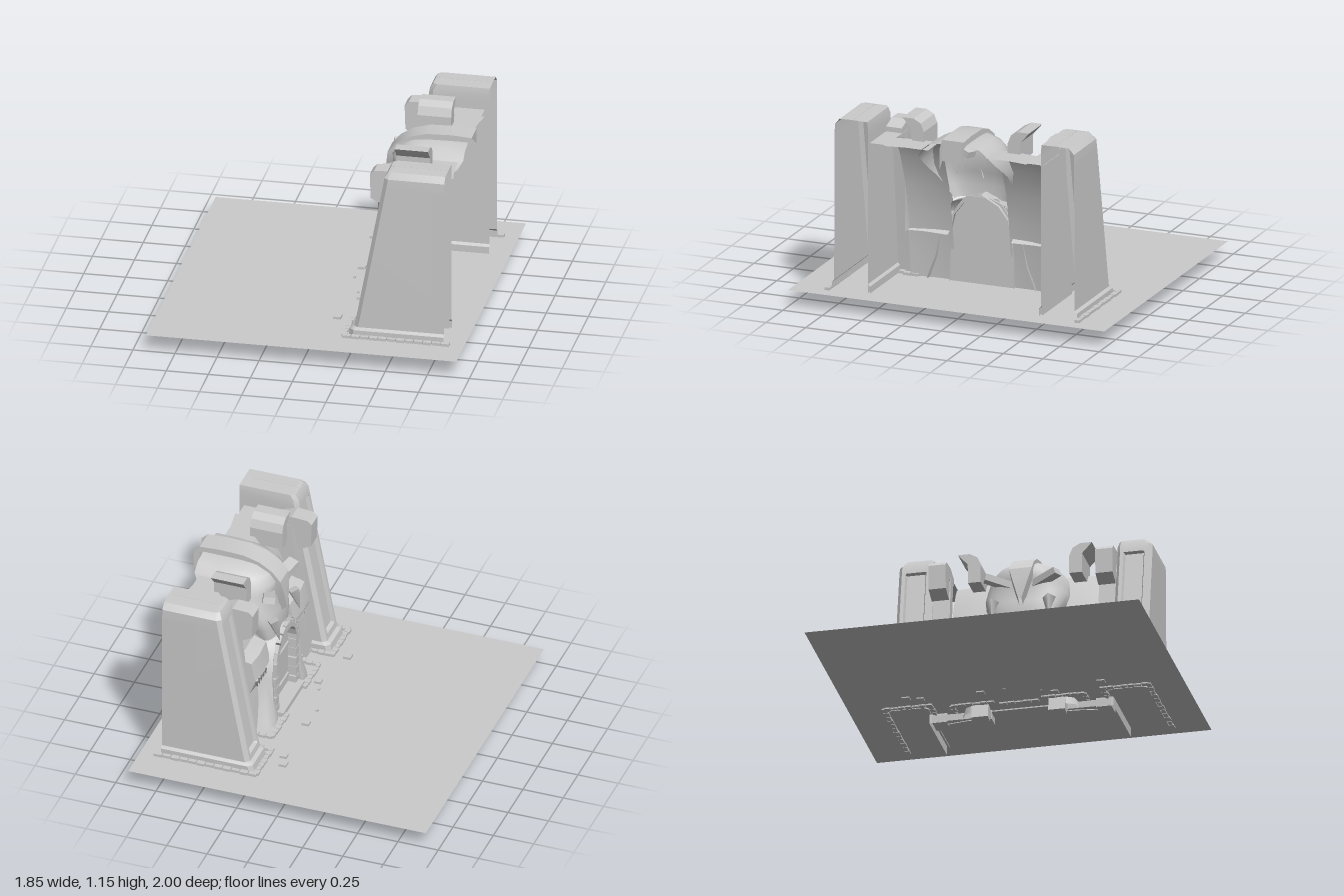
import * as THREE from 'three';
import { toCreasedNormals } from 'three/addons/utils/BufferGeometryUtils.js';

const mat = new THREE.MeshStandardMaterial({ color: 0xcccccc, side: THREE.DoubleSide });

function add(group, name, geo, x = 0, y = 0, z = 0) {
  const m = new THREE.Mesh(geo, mat);
  m.name = name;
  m.position.set(x, y, z);
  group.add(m);
  return m;
}
const box = (g, name, x, y, z, w, h, d) => add(g, name, new THREE.BoxGeometry(w, h, d), x, y, z);

// Open sheet through rows of [x, y, z] points
function loft(rows, crease = 0.5) {
  const n = rows[0].length, index = [];
  for (let r = 0; r < rows.length - 1; r++)
    for (let i = 0; i < n - 1; i++) {
      const a = r * n + i, b = a + 1, c = a + n, d = c + 1;
      index.push(a, c, b, b, c, d);
    }
  const geo = new THREE.BufferGeometry();
  geo.setAttribute('position', new THREE.Float32BufferAttribute(rows.flat(2), 3));
  geo.setIndex(index);
  return toCreasedNormals(geo, crease);
}

// Outline in (z, y) extruded along x from x0 to x1
function slabX(points, x0, x1) {
  const shape = new THREE.Shape(points.map(([z, y]) => new THREE.Vector2(-z, y)));
  const geo = new THREE.ExtrudeGeometry(shape, { depth: x1 - x0, bevelEnabled: false });
  return geo.rotateY(Math.PI / 2).translate(x0, 0, 0);
}
// Outline in (x, y) extruded along z from z0 to z1
function slabZ(points, z0, z1) {
  const shape = new THREE.Shape(points.map(([x, y]) => new THREE.Vector2(x, y)));
  const lo = Math.min(z0, z1);
  return new THREE.ExtrudeGeometry(shape, { depth: Math.abs(z1 - z0), bevelEnabled: false }).translate(0, 0, lo);
}

// Leaning tower, open at the back, with a sunken front panel
function tower(g, s) {
  const levels = [ // y, front x, inner z, outer z, panel depth
    [0.1, 0.23, 0.535, 0.775, 0], [0.15, 0.24, 0.535, 0.775, 0], [0.165, 0.262, 0.547, 0.76, 0],
    [0.2, 0.27, 0.547, 0.76, 0], [0.21, 0.272, 0.547, 0.76, 0.02],
    [1.06, 0.43, 0.547, 0.757, 0.02], [1.07, 0.432, 0.547, 0.757, 0],
    [1.12, 0.44, 0.547, 0.755, 0], [1.155, 0.46, 0.552, 0.725, 0], [1.157, 0.47, 0.64, 0.641, 0]];
  const rows = levels.map(([y, f, zi, zo, p]) => {
    const w = zo - zi, at = (x, t) => [x, y, s * (zi + w * t)];
    return [at(0.8, 0), at(f + 0.025, 0), at(f, 0.1), at(f, 0.2), at(f + p, 0.24),
      at(f + p, 0.76), at(f, 0.8), at(f, 0.9), at(f + 0.025, 1), at(0.8, 1)];
  });
  add(g, 'tower', loft(rows));
}

// Row of paving stones from (x0, z0) to (x1, z1)
function stones(g, x0, z0, x1, z1, n) {
  for (let i = 0; i < n; i++) {
    const t = (i + 0.5) / n, len = Math.hypot(x1 - x0, z1 - z0) / n * 0.9;
    const alongX = Math.abs(x1 - x0) > Math.abs(z1 - z0), w = 0.028 + 0.006 * Math.sin(i * 2.3);
    box(g, 'borderStone', x0 + (x1 - x0) * t, 0.112, z0 + (z1 - z0) * t,
      alongX ? len : w, 0.025, alongX ? w : len);
  }
}

// Everything that is mirrored about z = 0
function sideParts(s) {
  const g = new THREE.Group();
  g.name = s > 0 ? 'leftHalf' : 'rightHalf';
  tower(g, s);

  stones(g, 0.2, s * 0.79, 0.84, s * 0.79, 12);
  stones(g, 0.21, s * 0.5, 0.21, s * 0.79, 7);
  stones(g, 0.22, s * 0.515, 0.38, s * 0.515, 4);
  stones(g, 0.38, s * 0.4, 0.38, s * 0.5, 2);
  stones(g, 0.25, s * 0.395, 0.37, s * 0.395, 3);
  stones(g, 0.25, s * 0.14, 0.25, s * 0.4, 6);

  // Narrow pillar between tower and wall, with an overhanging cap
  const pillar = [[0.34, 0.05], [0.37, 0.4], [0.42, 0.84], [0.44, 1.02], [0.77, 1.02]];
  add(g, 'pillar', loft(pillar.map(([x, y]) => [[0.79, y, s * 0.55], [x, y, s * 0.55],
    [x, y, s * 0.445], [x + 0.06, y, s * 0.445]])));
  add(g, 'pillarCap', slabZ([[0.32, 0.9], [0.315, 1.05], [0.34, 1.075], [0.44, 1.08], [0.53, 1.05],
    [0.53, 1.0], [0.42, 1.0], [0.4, 0.86]], s * 0.447, s * 0.55));

  // Curved wall flanking the head
  const wall = [[0.36, 0.05], [0.38, 0.3], [0.41, 0.5], [0.45, 0.7], [0.52, 0.88], [0.57, 0.98], [0.6, 1.02], [0.77, 1.02]];
  add(g, 'wall', loft(wall.map(([x, y]) => [[x + 0.02, y, s * 0.45], [x, y, s * 0.32], [x, y, s * 0.18]])));

  // Jutting shoulder and the row of teeth beneath it
  const shoulder = [[0.43, 0.4], [0.37, 0.43], [0.335, 0.52], [0.36, 0.64], [0.44, 0.67]];
  add(g, 'shoulder', loft(shoulder.map(([x, y]) => [[0.46, y, s * 0.455], [x, y, s * 0.45],
    [x - 0.01, y, s * 0.34], [x, y, s * 0.2]])));
  for (let i = 0; i < 5; i++) {
    const t = add(g, 'tooth', new THREE.ConeGeometry(0.018, 0.08, 4), 0.34, 0.485, s * (0.27 + i * 0.036));
    t.rotation.x = Math.PI + s * 0.4;
  }

  // Horn curling outward
  add(g, 'horn', slabX([[0.4, 1.155], [0.33, 1.155], [0.285, 1.13], [0.265, 1.08], [0.265, 0.97],
    [0.34, 0.97], [0.342, 1.09], [0.37, 1.12]].map(([z, y]) => [s * z, y]), 0.43, 0.63));

  // Eye ridge and cheek fang
  const brow = box(g, 'brow', 0.365, 0.92, s * 0.14, 0.07, 0.04, 0.17);
  brow.rotation.set(-s * 0.3, -s * 0.35, 0);
  const fang = add(g, 'fang', new THREE.ConeGeometry(0.04, 0.14, 4), 0.305, 0.71, s * 0.17);
  fang.rotation.z = Math.PI - 0.3;

  // Flaring root beside the doorway, ending in a foot
  const rows = [[0.06, 0.36, 0.2, 0.27], [0.15, 0.33, 0.2, 0.28], [0.25, 0.29, 0.2, 0.3],
    [0.4, 0.26, 0.195, 0.31], [0.52, 0.24, 0.17, 0.315], [0.6, 0.18, 0.11, 0.32], [0.66, 0.01, 0, 0.32]];
  add(g, 'doorRoot', loft(rows.map(([y, zo, zi, x]) => [[0.4, y, s * zo], [x + 0.03, y, s * (zo * 0.85 + zi * 0.15)],
    [x, y, s * (zo + zi) / 2], [x + 0.01, y, s * zi], [0.4, y, s * zi]]), 1));
  const foot = box(g, 'foot', 0.29, 0.055, s * 0.23, 0.06, 0.085, 0.1);
  foot.rotation.z = -0.2;
  box(g, 'footing', 0.4, 0.075, s * 0.36, 0.12, 0.04, 0.35);
  return g;
}

function head() {
  const g = new THREE.Group();
  g.name = 'helmetedHead';
  // Rounded horseshoe sections: y, front x, back x, half width
  const levels = [[0.62, 0.33, 0.4, 0.17], [0.7, 0.325, 0.44, 0.2], [0.78, 0.335, 0.5, 0.235], [0.86, 0.36, 0.6, 0.255],
    [0.93, 0.35, 0.7, 0.25], [0.98, 0.345, 0.77, 0.24], [1.03, 0.38, 0.8, 0.21], [1.07, 0.45, 0.8, 0.16], [1.095, 0.53, 0.8, 0.01]];
  add(g, 'skull', loft(levels.map(([y, f, b, w]) => {
    const row = [];
    for (let i = 0; i <= 16; i++) {
      const a = Math.PI * (i / 16 - 0.5), c = Math.cos(a), q = Math.sin(a);
      row.push([b - (b - f) * Math.pow(Math.abs(c), 0.6), y, w * Math.sign(q) * Math.pow(Math.abs(q), 0.8)]);
    }
    return row;
  }), 0.9));
  // Crest band running over the helmet and down to the nose guard
  const crest = [[0.3, 0.78, 0.01], [0.305, 0.88, 0.04], [0.32, 0.98, 0.068], [0.37, 1.04, 0.068], [0.45, 1.09, 0.068],
    [0.55, 1.117, 0.068], [0.7, 1.122, 0.068], [0.82, 1.115, 0.068], [0.82, 0.985, 0.068]];
  add(g, 'crest', loft(crest.map(([x, y, w]) => [[x + 0.04, y - 0.04, w], [x, y, w], [x, y, -w], [x + 0.04, y - 0.04, -w]])));
  return g;
}

function doorway() {
  const g = new THREE.Group();
  g.name = 'doorway';
  // Door leaves with pointed top
  for (const s of [1, -1])
    add(g, 'doorLeaf', slabX([[s * 0.002, 0.12], [s * 0.14, 0.12], [s * 0.14, 0.47], [s * 0.09, 0.535], [s * 0.002, 0.56]], 0.35, 0.37));
  for (const y of [0.2, 0.42]) box(g, 'doorStrap', 0.345, y, 0, 0.012, 0.025, 0.26);
  box(g, 'threshold', 0.31, 0.125, 0, 0.1, 0.03, 0.36);
  // Stone blocks up the jambs and around the arch
  for (const s of [1, -1])
    for (let i = 0; i < 5; i++)
      box(g, 'jambStone', 0.33, 0.15 + i * 0.066, s * (0.165 + 0.006 * (i % 2)), 0.06, 0.06, 0.05);
  for (let i = 0; i <= 10; i++) {
    const a = Math.PI * i / 10;
    box(g, 'archStone', 0.33, 0.455 + 0.17 * Math.sin(a), 0.17 * Math.cos(a), 0.065, 0.05, 0.047).rotation.x = -a;
  }
  add(g, 'archInfill', slabX([[0.2, 0.1], [0.2, 0.5], [0.1, 0.64], [-0.1, 0.64], [-0.2, 0.5], [-0.2, 0.1]], 0.372, 0.38));
  stones(g, 0.285, -0.12, 0.285, 0.12, 5);
  return g;
}

export function createModel() {
  const model = new THREE.Group();
  model.name = 'gatehouse';
  add(model, 'ground', new THREE.PlaneGeometry(1.846, 2).rotateX(-Math.PI / 2), 0, 0.108, 0);
  model.add(sideParts(1), sideParts(-1), head(), doorway());
  // Loose stones in front: x, z, size
  const loose = [[0.095, -0.63, 0.045], [0.12, -0.55, 0.04], [0.115, -0.19, 0.045], [0.1, -0.045, 0.016],
    [0.165, 0.16, 0.014], [0.195, 0.235, 0.042], [0.12, 0.53, 0.045]];
  for (const [x, z, d] of loose) box(model, 'looseStone', x, 0.112, z, d, Math.min(d, 0.022), d);
  return model;
}
